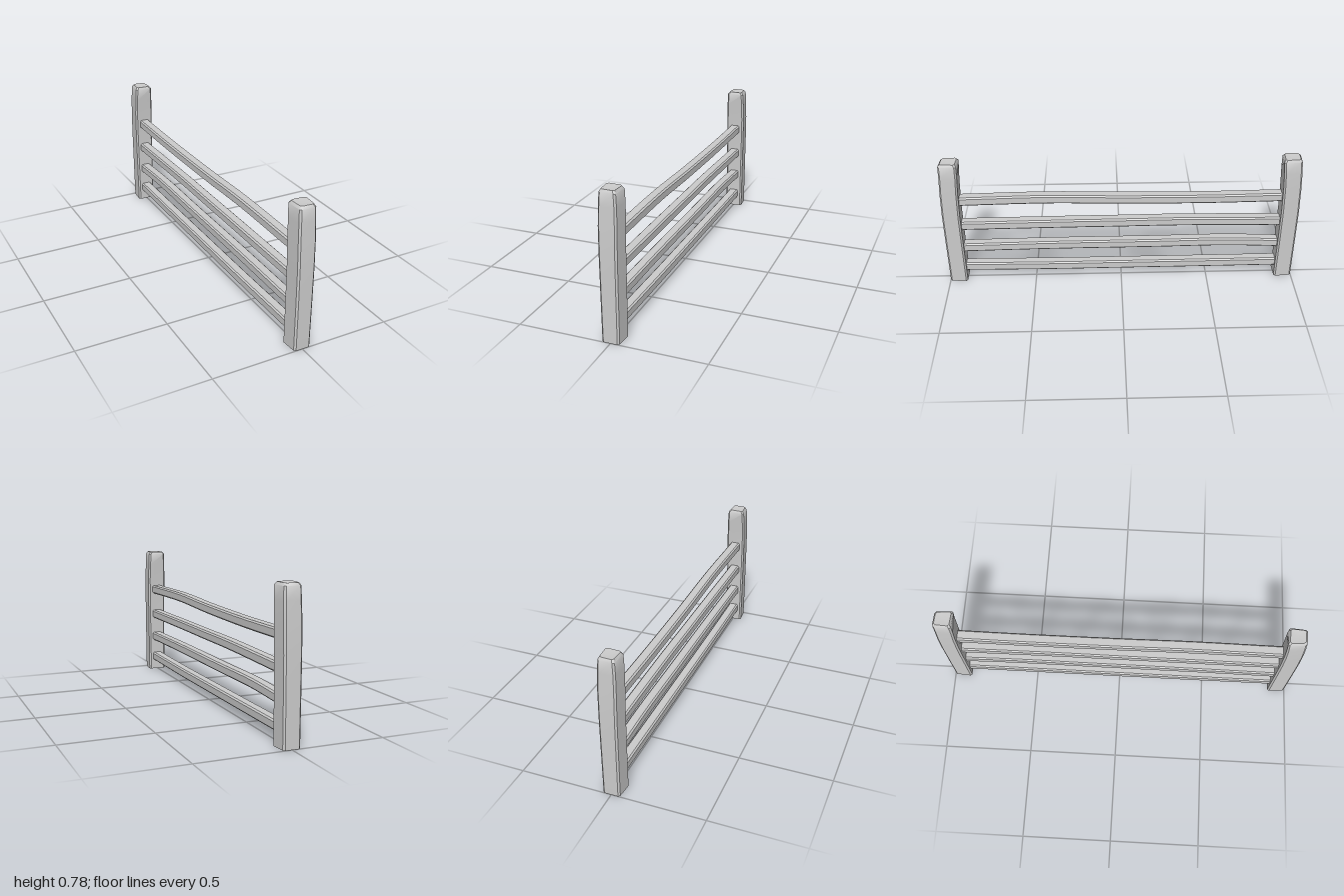
import * as THREE from 'three';
import { toCreasedNormals } from 'three/addons/utils/BufferGeometryUtils.js';

// Square section with softened corners, counter-clockwise, in half sizes
function section(hu, hv, c) {
  return [
    [hu, -hv + c], [hu, hv - c], [hu - c, hv], [-hu + c, hv],
    [-hu, hv - c], [-hu, -hv + c], [-hu + c, -hv], [hu - c, -hv],
  ];
}

// Skin a series of rings; an optional point closes the last ring
function loft(rings, capPoint) {
  const n = rings[0].length;
  const positions = rings.flat(2);
  const index = [];
  for (let i = 0; i < rings.length - 1; i++) {
    for (let j = 0; j < n; j++) {
      const k = (j + 1) % n;
      const a = i * n + j, b = i * n + k;
      index.push(a, b, b + n, a, b + n, a + n);
    }
  }
  if (capPoint) {
    const base = (rings.length - 1) * n;
    positions.push(...capPoint);
    for (let j = 0; j < n; j++) index.push(base + n, base + j, base + (j + 1) % n);
  }
  const geometry = new THREE.BufferGeometry();
  geometry.setAttribute('position', new THREE.Float32BufferAttribute(positions, 3));
  geometry.setIndex(index);
  return toCreasedNormals(geometry, 0.6);
}

// Upright post, leaning inward near the top, open underneath
function postGeometry() {
  // height, centre z, half depth, half width
  const levels = [
    [0, 0.95, 0.05, 0.049],
    [0.25, 0.95, 0.05, 0.05],
    [0.45, 0.949, 0.05, 0.051],
    [0.6, 0.944, 0.05, 0.052],
    [0.7, 0.938, 0.05, 0.05],
    [0.767, 0.934, 0.05, 0.047],
    [0.781, 0.933, 0.041, 0.038],
  ];
  const rings = levels.map(([y, z, hd, hw]) =>
    section(hd, hw, 0.009).map(([u, v]) => {
      // outer side a little narrower than the inner one
      const x = v * (1 - u * 1.6);
      return [x, y, z + u + (y > 0.7 ? x * 0.06 : 0)];
    }));
  return loft(rings, [0, 0.776, 0.933]);
}

// Gently wavering rail running along z; path holds [z, y] points
function railGeometry(path) {
  const curve = new THREE.CatmullRomCurve3(path.map(([z, y]) => new THREE.Vector3(0, y, z)));
  const rings = curve.getPoints(20).map((p) =>
    section(0.029, 0.026, 0.008).map(([u, v]) => [u, p.y + v, p.z]));
  return loft(rings);
}

export function createModel() {
  const model = new THREE.Group();
  model.name = 'fence';
  const material = new THREE.MeshStandardMaterial({ color: 0xcccccc, side: THREE.DoubleSide });

  // Posts at both ends, the rear one turned half round
  const postShape = postGeometry();
  ['frontPost', 'rearPost'].forEach((name, i) => {
    const post = new THREE.Mesh(postShape, material);
    post.name = name;
    post.rotation.y = i * Math.PI;
    model.add(post);
  });

  // Four rails, lowest first
  const rails = [
    [[-0.91, 0.085], [-0.4, 0.083], [0, 0.082], [0.4, 0.081], [0.91, 0.085]],
    [[-0.91, 0.221], [-0.6, 0.233], [-0.2, 0.23], [0.4, 0.228], [0.91, 0.221]],
    [[-0.91, 0.371], [-0.3, 0.379], [0, 0.377], [0.3, 0.376], [0.91, 0.371]],
    [[-0.91, 0.533], [-0.5, 0.528], [0, 0.532], [0.4, 0.542], [0.91, 0.534]],
  ];
  rails.forEach((path, i) => {
    const rail = new THREE.Mesh(railGeometry(path), material);
    rail.name = `rail${i + 1}`;
    model.add(rail);
  });

  return model;
}
